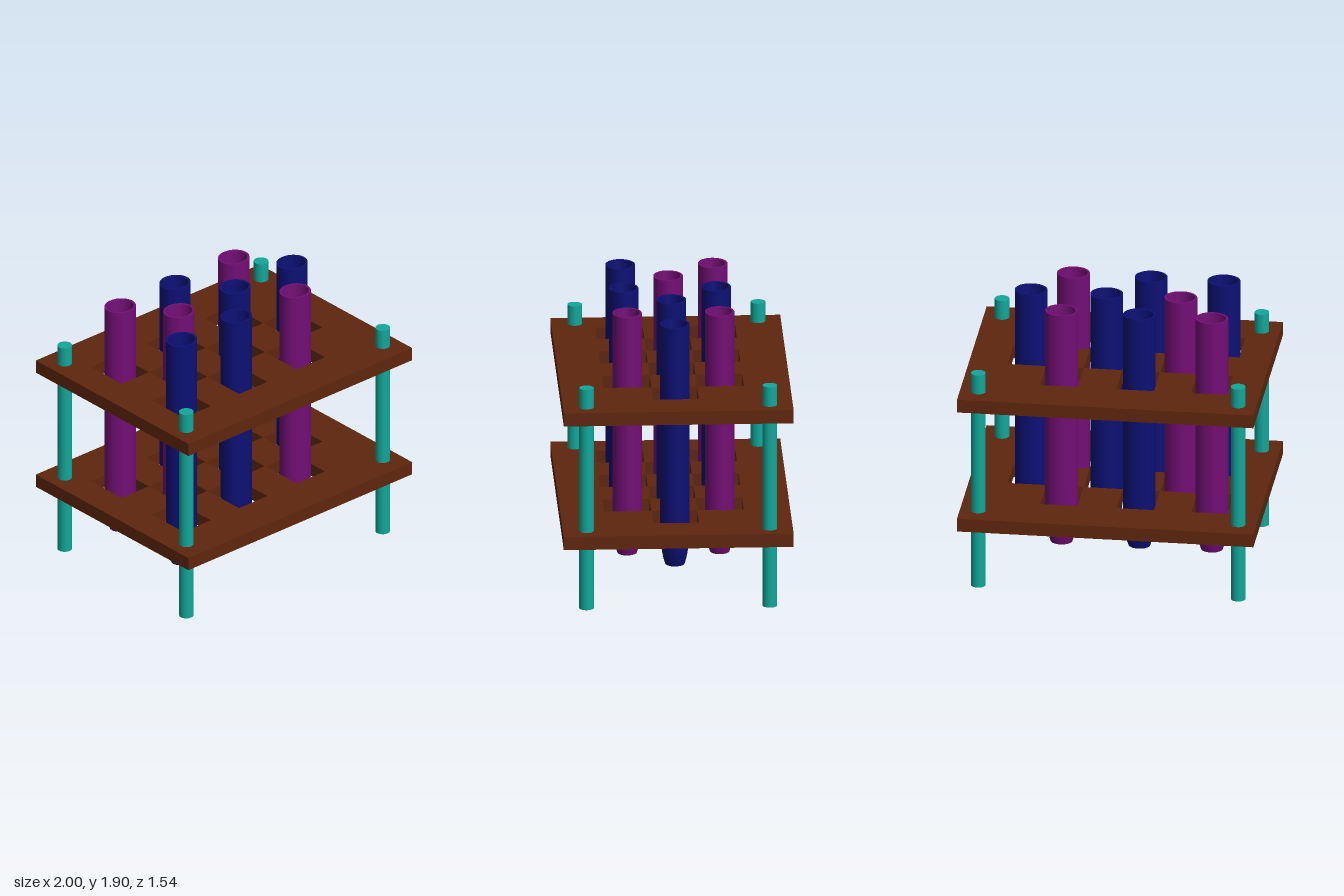
import * as THREE from 'three';

const material = (color, side = THREE.FrontSide) => new THREE.MeshStandardMaterial({ color, side });

// Hole edges: columns along x and rows along z
const COLS = [-0.785, -0.54, -0.29, -0.035, 0.225, 0.48, 0.74];
const ROWS = [-0.46, -0.147, 0.16, 0.48];

// Tube centres along x for each column and along z for each row
const TUBE_X = [-0.66, -0.41, -0.17, 0.09, 0.355, 0.6];
const TUBE_Z = [-0.303, 0.008, 0.317];

// Occupied columns and their colours (p purple, b blue), back row first
const LAYOUT = [
  [[0, 'p'], [2, 'b'], [4, 'p']],
  [[1, 'p'], [3, 'b'], [5, 'b']],
  [[0, 'b'], [2, 'b'], [4, 'p']],
];

// Board with a chequered pattern of square holes, lying flat
function boardGeometry(thickness) {
  const shape = new THREE.Shape([
    new THREE.Vector2(-1, -0.77), new THREE.Vector2(1, -0.77),
    new THREE.Vector2(1, 0.77), new THREE.Vector2(-1, 0.77),
  ]);
  const gap = 0.001; // keeps diagonal neighbours from sharing a corner
  LAYOUT.forEach((row, r) => row.forEach(([c]) => {
    const x0 = COLS[c] + gap, x1 = COLS[c + 1] - gap;
    const y0 = -ROWS[r + 1] + gap, y1 = -ROWS[r] - gap;
    shape.holes.push(new THREE.Path([
      new THREE.Vector2(x0, y0), new THREE.Vector2(x0, y1),
      new THREE.Vector2(x1, y1), new THREE.Vector2(x1, y0),
    ]));
  }));
  return new THREE.ExtrudeGeometry(shape, { depth: thickness, bevelEnabled: false }).rotateX(-Math.PI / 2);
}

function lathe(points) {
  return new THREE.LatheGeometry(points.map(([x, y]) => new THREE.Vector2(x, y)), 32);
}

export function createModel() {
  const model = new THREE.Group();
  model.name = 'testTubeRack';
  const add = (parent, name, geometry, mat, x = 0, y = 0, z = 0) => {
    const mesh = new THREE.Mesh(geometry, mat);
    mesh.name = name;
    mesh.position.set(x, y, z);
    parent.add(mesh);
    return mesh;
  };

  // Two boards
  const wood = material(0x5f260d);
  const board = boardGeometry(0.093);
  add(model, 'lowerBoard', board, wood, 0, 0.452, 0);
  add(model, 'upperBoard', board, wood, 0, 1.325, 0);

  // Corner posts
  const teal = material(0x10a899);
  const post = new THREE.CylinderGeometry(0.049, 0.049, 1.555, 32);
  for (const [side, x] of [['Right', -0.878], ['Left', 0.876]])
    for (const [end, z] of [['front', 0.612], ['back', -0.616]])
      add(model, `${end}${side}Post`, post, teal, x, 1.555 / 2, z);

  // Tubes: rounded outer wall, flat rim, hollow inside narrowing to a point
  const colours = {
    p: material(0x730e75, THREE.DoubleSide),
    b: material(0x0c1074, THREE.DoubleSide),
  };
  const wall = lathe([
    [0.073, 0.215], [0.084, 0.25], [0.095, 0.295], [0.104, 0.36], [0.109, 0.43], [0.11, 0.5], [0.11, 1.905],
  ]);
  const rim = lathe([[0.11, 1.905], [0.094, 1.905]]);
  const hollow = lathe([[0.094, 1.905], [0, 0.25]]);
  const base = new THREE.CircleGeometry(0.073, 32).rotateX(Math.PI / 2);

  LAYOUT.forEach((row, r) => row.forEach(([c, key]) => {
    const tube = new THREE.Group();
    tube.name = 'testTube';
    tube.position.set(TUBE_X[c], 0, TUBE_Z[r]);
    tube.scale.z = 0.9; // slightly oval
    add(tube, 'tubeWall', wall, colours[key]);
    add(tube, 'tubeRim', rim, colours[key]);
    add(tube, 'tubeHollow', hollow, colours[key]);
    add(tube, 'tubeBase', base, colours[key], 0, 0.215, 0);
    model.add(tube);
  }));

  return model;
}
